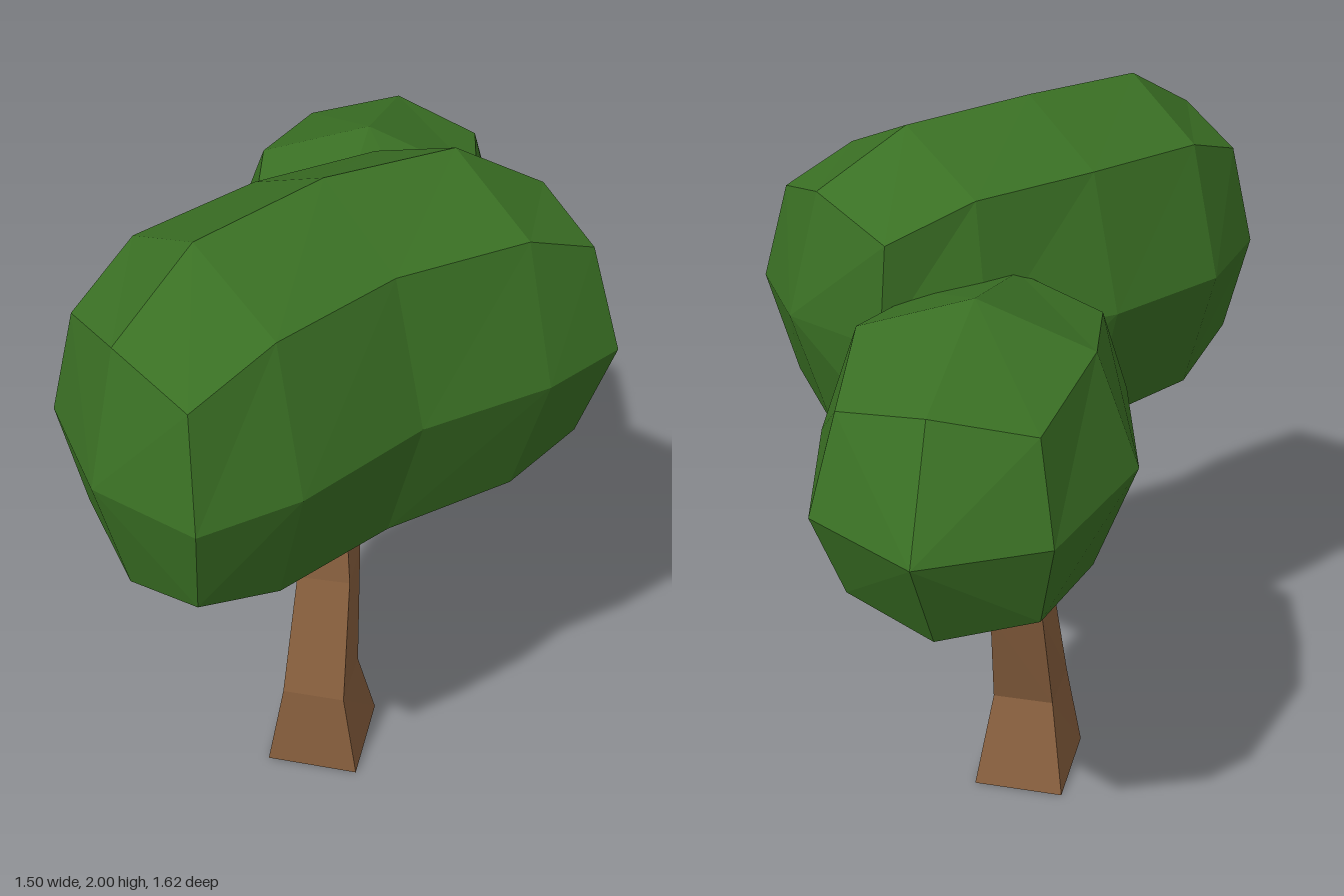
import * as THREE from 'three';

const leaf = new THREE.MeshStandardMaterial({ color: 0x3a7024 });
leaf.name = 'leaf green';
const bark = new THREE.MeshStandardMaterial({ color: 0x885f3e });
bark.name = 'bark brown';

// Faceted skin over a row of rings; each end closes in a fan around a centre point.
// Rings run right, top, left, bottom as seen when travelling along the row.
function loft(name, material, rings, startCap, endCap) {
  const pos = [];
  const tri = (a, b, c) => pos.push(...a, ...b, ...c);
  const n = rings[0].length;
  const middle = (ring) => [0, 1, 2].map((k) => ring.reduce((sum, p) => sum + p[k], 0) / n);
  const first = rings[0];
  const last = rings[rings.length - 1];
  const start = startCap || middle(first);
  const end = endCap || middle(last);
  for (let j = 0; j < n; j++) {
    const k = (j + 1) % n;
    for (let i = 0; i < rings.length - 1; i++) {
      const [a, b, c, d] = [rings[i][j], rings[i][k], rings[i + 1][k], rings[i + 1][j]];
      tri(a, d, c);
      tri(a, c, b);
    }
    tri(start, first[j], first[k]);
    tri(end, last[k], last[j]);
  }
  const geometry = new THREE.BufferGeometry();
  geometry.setAttribute('position', new THREE.Float32BufferAttribute(pos, 3));
  geometry.computeVertexNormals();
  const mesh = new THREE.Mesh(geometry, material);
  mesh.name = name;
  return mesh;
}

// Completes an upper half arc of five points with its mirror image below height y.
function fullRing(arc, y) {
  const lower = arc.slice(1, 4).reverse().map((p) => [p[0], 2 * y - p[1], p[2]]);
  return [...arc, ...lower];
}

// Four-sided tapering limb along a bent path of [x, y, z, radius].
function limb(name, path) {
  const points = path.map((p) => new THREE.Vector3(p[0], p[1], p[2]));
  const up = new THREE.Vector3(0, 1, 0);
  const rings = points.map((p, i) => {
    const t = points[Math.min(i + 1, points.length - 1)].clone()
      .sub(points[Math.max(i - 1, 0)]).normalize();
    const side = t.clone().cross(up).normalize();
    const rise = side.clone().cross(t);
    return [0, 1, 2, 3].map((k) => {
      const angle = k * Math.PI / 2;
      return p.clone()
        .addScaledVector(side, path[i][3] * Math.cos(angle))
        .addScaledVector(rise, path[i][3] * Math.sin(angle)).toArray();
    });
  });
  return loft(name, bark, rings);
}

export function createModel() {
  const tree = new THREE.Group();
  tree.name = 'tree';

  // Trunk: corners front, left, back, right at each height
  const trunk = [
    [0, [0.015, 0.28], [-0.2, 0.13], [-0.04, -0.095], [0.175, 0.055]],
    [0.27, [-0.01, 0.24], [-0.155, 0.14], [-0.05, 0], [0.095, 0.1]],
    [0.62, [0.045, 0.145], [-0.08, 0.065], [0.01, -0.07], [0.135, 0.01]],
    [0.89, [0.05, 0.095], [-0.025, 0.055], [0.03, -0.04], [0.102, 0.005]],
    [1.2, [0.06, 0.08], [0.02, 0.045], [0.06, -0.02], [0.1, 0.015]],
  ].map(([y, ...corners]) => corners.map(([x, z]) => [x, y, z]));
  tree.add(loft('trunk', bark, trunk));

  // Branches
  tree.add(
    limb('mainBranch', [
      [0.03, 0.81, 0.07, 0.042], [-0.14, 0.92, 0.27, 0.027], [-0.27, 1.16, 0.45, 0.02],
    ]),
    limb('frontTwig', [
      [0.06, 0.98, 0.03, 0.018], [0.13, 1.02, 0.12, 0.014], [0.22, 1.13, 0.22, 0.01],
    ]),
    limb('backTwig', [
      [0.07, 0.97, 0.01, 0.022], [0.14, 1.03, -0.05, 0.016], [0.23, 1.13, -0.14, 0.012],
    ]),
  );

  // Large front canopy: five arcs from right to left
  const large = [
    [[-0.6, 1.515, 0.81], [-0.58, 1.78, 0.735], [-0.675, 1.84, 0.53], [-0.695, 1.78, 0.28], [-0.75, 1.515, 0.25]],
    [[-0.345, 1.515, 0.78], [-0.36, 1.86, 0.67], [-0.45, 1.98, 0.415], [-0.505, 1.86, 0.145], [-0.54, 1.515, 0.05]],
    [[0, 1.515, 0.645], [-0.035, 1.87, 0.55], [-0.1, 2, 0.295], [-0.17, 1.87, 0.035], [-0.2, 1.515, -0.06]],
    [[0.345, 1.515, 0.61], [0.315, 1.86, 0.51], [0.25, 1.98, 0.245], [0.165, 1.86, -0.015], [0.16, 1.515, -0.075]],
    [[0.57, 1.515, 0.53], [0.51, 1.78, 0.47], [0.49, 1.84, 0.245], [0.4, 1.78, -0.015], [0.425, 1.515, -0.02]],
  ].map((arc) => fullRing(arc, 1.515));
  tree.add(loft('largeCanopy', leaf, large, [-0.755, 1.515, 0.57], [0.58, 1.515, 0.25]));

  // Small back canopy: the near end is the far end turned half round its centre
  const middle = [[0.605, 1.36, -0.09], [0.52, 1.65, -0.15], [0.285, 1.755, -0.325], [0.05, 1.65, -0.49], [-0.035, 1.36, -0.555]];
  const far = [[0.75, 1.36, -0.48], [0.665, 1.6, -0.45], [0.52, 1.65, -0.65], [0.29, 1.6, -0.735], [0.29, 1.36, -0.815]];
  const turned = ([x, y, z]) => [0.57 - x, y, -0.65 - z];
  const near = far.map(turned).reverse();
  const farCap = [0.61, 1.36, -0.775];
  const small = [near, middle, far].map((arc) => fullRing(arc, 1.36));
  tree.add(loft('smallCanopy', leaf, small, turned(farCap), farCap));

  return tree;
}
